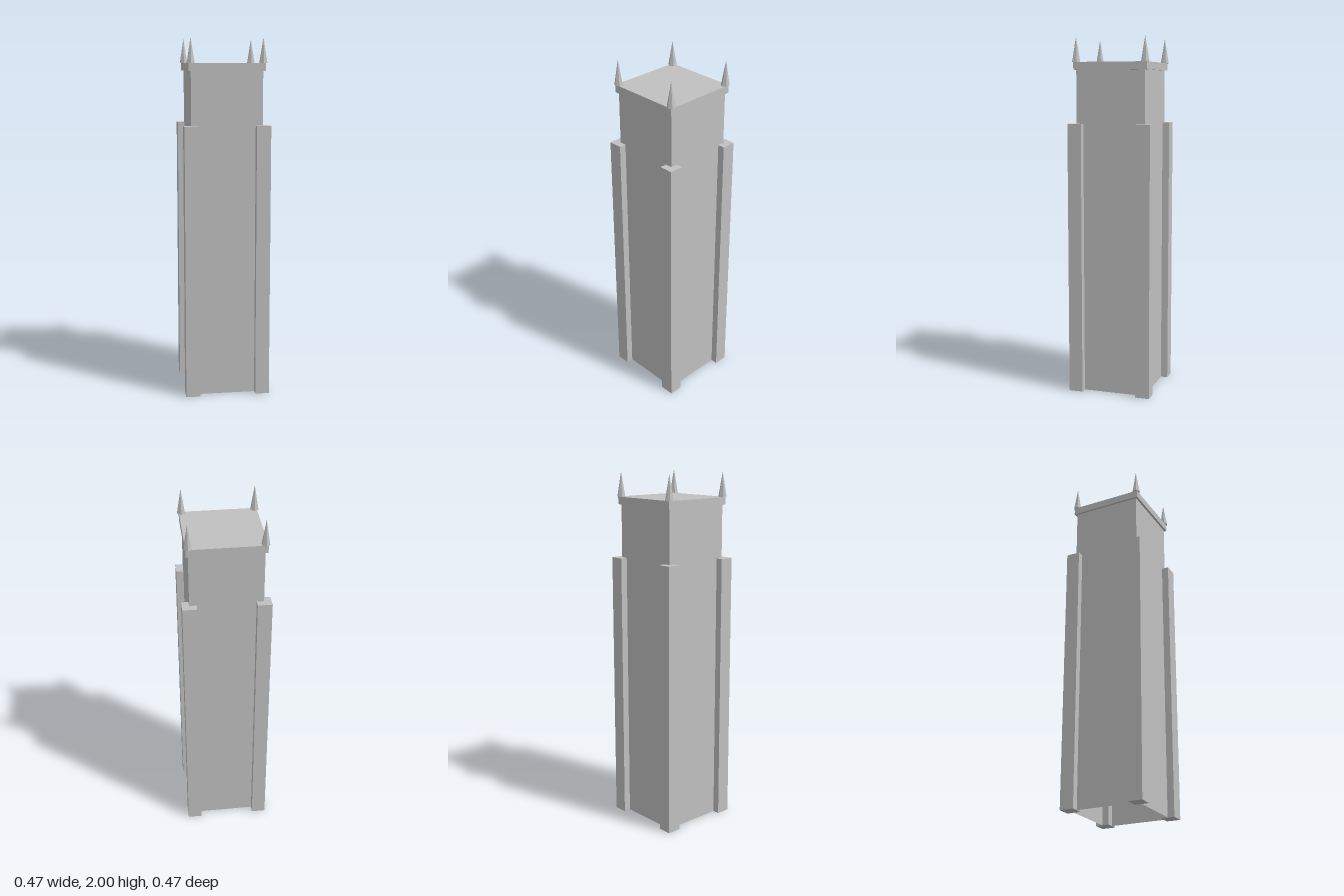
import * as THREE from 'three';

export function createModel() {
  const tower = new THREE.Group();
  tower.name = 'tower';

  const stone = new THREE.MeshStandardMaterial({ color: 0xc0c0c0, side: THREE.DoubleSide });
  stone.name = 'grey stone';

  const HALF = 0.1975; // half width of the shaft, also the corner offset

  function add(name, geometry, x, y, z) {
    const mesh = new THREE.Mesh(geometry, stone);
    mesh.name = name;
    mesh.position.set(x, y, z);
    tower.add(mesh);
  }

  // Hollow shaft: four walls, open underneath
  const wall = new THREE.PlaneGeometry(2 * HALF, 1.82);
  for (let i = 0; i < 4; i++) {
    const side = wall.clone().translate(0, 0, HALF).rotateY(i * Math.PI / 2);
    add('shaftWall', side, 0, 0.91, 0);
  }

  // Overhanging parapet slab
  add('parapet', new THREE.BoxGeometry(0.42, 0.042, 0.42), 0, 1.841, 0);

  // Corner buttresses and six-sided pinnacles
  const buttress = new THREE.BoxGeometry(0.079, 1.525, 0.079);
  const pinnacle = new THREE.ConeGeometry(0.0237, 0.138, 6).toNonIndexed();
  pinnacle.computeVertexNormals();
  for (const sx of [-1, 1]) {
    for (const sz of [-1, 1]) {
      add('cornerButtress', buttress, sx * HALF, 0.7625, sz * HALF);
      add('pinnacle', pinnacle, sx * HALF, 1.931, sz * HALF);
    }
  }

  return tower;
}
